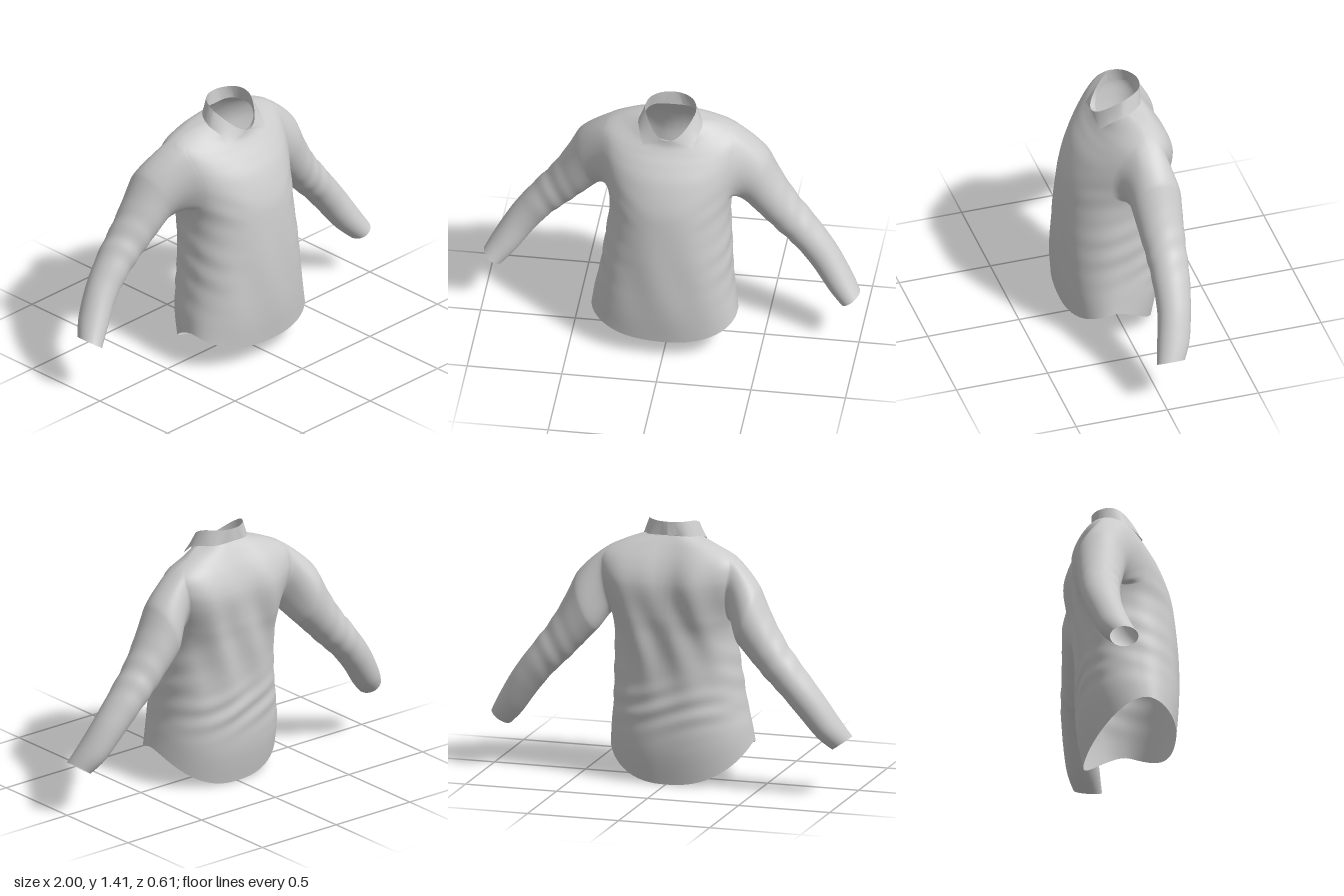
import * as THREE from 'three';

const { sin, cos, abs, pow, sign, min, max, PI, exp } = Math;
const bump = (v, mid, width) => exp(-(((v - mid) / width) ** 2));
const mix = (p, q, k) => p.map((e, i) => e + (q[i] - e) * k);

// Smoothly sample a list of section rows (Catmull-Rom on every column), t in 0..1
function sample(rows, t) {
  const n = rows.length - 1;
  const f = t * n, i = min(Math.floor(f), n - 1), k = f - i;
  const [a, b, c, d] = [i - 1, i, i + 1, i + 2].map(j => rows[min(max(j, 0), n)]);
  return b.map((p1, m) => {
    const p0 = a[m], p2 = c[m], p3 = d[m];
    return p1 + 0.5 * k * (p2 - p0 + k * (2 * p0 - 5 * p1 + 4 * p2 - p3 + k * (3 * (p1 - p2) + p3 - p0)));
  });
}

const cloth = new THREE.MeshStandardMaterial({ color: 0xcccccc, side: THREE.DoubleSide });

// Skin a grid of points: point(v, u) returns [x, y, z]; closed wraps around u
function loft(name, rows, cols, closed, point) {
  const pos = [], index = [], stride = closed ? cols : cols + 1;
  for (let i = 0; i <= rows; i++)
    for (let j = 0; j < stride; j++) pos.push(...point(i / rows, j / cols));
  for (let i = 0; i < rows; i++)
    for (let j = 0; j < cols; j++) {
      const k = (j + 1) % stride;
      const a = i * stride + j, b = i * stride + k, c = a + stride, d = b + stride;
      index.push(a, c, b, b, c, d);
    }
  const g = new THREE.BufferGeometry();
  g.setAttribute('position', new THREE.Float32BufferAttribute(pos, 3));
  g.setIndex(index);
  g.computeVertexNormals();
  const mesh = new THREE.Mesh(g, cloth);
  mesh.name = name;
  return mesh;
}

// Body sections: y front, y side, y back, half width +x, half width -x, z front, z back, z side
const BODY = [
  [0.10, 0.20, 0.00, 0.37, 0.40, 0.28, -0.19, 0.08],
  [0.25, 0.30, 0.18, 0.355, 0.385, 0.295, -0.225, 0.06],
  [0.40, 0.42, 0.38, 0.34, 0.36, 0.30, -0.235, 0.05],
  [0.60, 0.60, 0.60, 0.33, 0.335, 0.295, -0.235, 0.03],
  [0.80, 0.80, 0.80, 0.32, 0.315, 0.278, -0.255, 0.0],
  [0.92, 0.92, 0.92, 0.335, 0.335, 0.257, -0.275, -0.03],
  [1.05, 1.05, 1.05, 0.37, 0.37, 0.205, -0.29, -0.07],
  [1.13, 1.15, 1.13, 0.385, 0.385, 0.15, -0.28, -0.09],
  [1.18, 1.23, 1.21, 0.36, 0.36, 0.108, -0.245, -0.10],
  [1.22, 1.29, 1.285, 0.25, 0.25, 0.082, -0.195, -0.09],
  [1.26, 1.325, 1.335, 0.14, 0.14, 0.075, -0.155, -0.04],
];

function bodyPoint(v, u) {
  const [yF, yS, yB, wL, wR, zF, zB, zS] = sample(BODY, v);
  const c = cos(u * 2 * PI), s = sin(u * 2 * PI);
  // The chest tapers towards the shoulders while the back stays broad
  const round = q => sign(q) * pow(abs(q), 0.85 + (s > 0 ? 0.2 : -0.18) * v);
  let x = round(c) * (c > 0 ? wL : wR);
  let z = zS + round(s) * (s > 0 ? zF - zS : zS - zB);
  const y = yS + ((s > 0 ? yF : yB) - yS) * pow(abs(s), 1.4);
  // Cloth folds: hollow spine and hanging folds on the back, crumples above the waist, crinkled sides
  const back = max(-s, 0), front = max(s, 0);
  z += back * 0.035 * bump(x, 0, 0.1) * bump(y, 1.05, 0.25);
  z += back * 0.010 * sin(x * 30 + 3 * sin(y * 4)) * bump(y, 0.85, 0.3);
  z += back * 0.006 * sin(y * 55 + x * 9 + 2 * sin(x * 7)) * bump(y, 0.42, 0.1);
  z += front * 0.004 * sin(x * 24 + y * 5) * bump(y, 0.45, 0.25);
  z += front * 0.003 * sin(y * 45 - abs(x) * 25) * bump(y, 0.9, 0.1) * bump(abs(x), 0.28, 0.12);
  x += c * abs(c) * 0.003 * sin(y * 48 + z * 14) * bump(y, 0.58, 0.2);
  return [x, y, z];
}

// Sleeve sections: top x, top y, bottom x, bottom y, z front, z back
const SLEEVE = [
  [0.515, 1.08, 0.40, 0.79, 0.02, -0.245],
  [0.58, 0.945, 0.475, 0.71, 0.005, -0.235],
  [0.66, 0.81, 0.56, 0.62, -0.01, -0.225],
  [0.75, 0.69, 0.65, 0.53, -0.015, -0.215],
  [0.86, 0.54, 0.74, 0.42, -0.01, -0.19],
  [0.95, 0.39, 0.83, 0.30, 0.02, -0.155],
  [1.00, 0.30, 0.90, 0.23, 0.04, -0.11],
];

function armPoint(side, v, a) {
  const [tx, ty, bx, by, zF, zB] = sample(SLEEVE, v);
  // Crinkles gather at the elbow
  const fold = 1 + 0.02 * sin(v * 46 + 2 * sin(a)) * bump(v, 0.38, 0.18);
  const c = cos(a) * fold / 2, s = -side * sin(a) * fold / 2;
  // The right arm is carried a little further back
  const shift = side < 0 ? -0.06 - 0.035 * sin(v * PI * 0.7) : 0;
  const lift = side < 0 ? 0.017 * v : 0;
  return [
    side * ((tx + bx) / 2 + (tx - bx) * c),
    (ty + by) / 2 + (ty - by) * c + lift,
    (zF + zB) / 2 + (zF - zB) * s + shift,
  ];
}

// Oval armhole traced on the body surface
function armhole(side, a, size) {
  const turn = -side * sin(a) * 0.09 * size;
  const u = side > 0 ? turn : 0.5 - turn;
  return bodyPoint(0.65 + 0.2 * size * cos(a), (u + 1) % 1);
}

// The sleeve flows out of the armhole tangent to the body, then follows the arm
function sleevePoint(side, v, u) {
  const a = u * 2 * PI, joint = 0.25;
  if (v >= joint) return armPoint(side, (v - joint) / (1 - joint), a);
  const k = v / joint, k2 = k * k, k3 = k2 * k;
  const rim = armhole(side, a, 1), outer = armhole(side, a, 1.25);
  const start = armPoint(side, 0, a), next = armPoint(side, 0.02, a);
  return rim.map((p, i) =>
    p * (2 * k3 - 3 * k2 + 1) + 2.6 * (p - outer[i]) * (k3 - 2 * k2 + k) +
    start[i] * (3 * k2 - 2 * k3) + 16 * (next[i] - start[i]) * (k3 - k2));
}

// Collar fold line, running from front centre (w = 0) to back centre (w = 1), pinched to a V in front
function foldLine(side, w) {
  const a = w * PI, c = cos(a) > 0 ? pow(cos(a), 1.6) : cos(a);
  const rise = min(1, (1 - c) * 0.625);
  return [side * 0.135 * sin(a), 1.275 + 0.135 * sin(rise * PI / 2), -0.025 + 0.13 * c];
}

// Neck seam on the body that the collar stand grows from
const neckLine = (side, w) => bodyPoint(1, (0.25 - side * w / 2 + 1) % 1);

// Lower edge of the turned-down collar, from its point round to the back
const LEAF = [
  [0.13, 1.23, 0.095],
  [0.152, 1.275, 0.045],
  [0.168, 1.312, -0.03],
  [0.12, 1.335, -0.12],
  [0.0, 1.34, -0.158],
];

export function createModel() {
  const shirt = new THREE.Group();
  shirt.name = 'shirt';
  shirt.add(loft('body', 110, 120, true, bodyPoint));

  const collar = new THREE.Group();
  collar.name = 'collar';
  for (const side of [1, -1]) {
    const label = side > 0 ? 'left' : 'right';
    shirt.add(loft(label + 'Sleeve', 100, 64, true, (v, u) => sleevePoint(side, v, u)));

    const along = u => (side > 0 ? 1 - u : u);
    collar.add(loft(label + 'CollarStand', 6, 36, false, (v, u) => {
      const w = along(u);
      return mix(neckLine(side, w), foldLine(side, w), v);
    }));
    collar.add(loft(label + 'CollarLeaf', 8, 36, false, (v, u) => {
      const w = along(u);
      const [x, y, z] = sample(LEAF, w);
      return mix([side * x, y, z], foldLine(side, w), v);
    }));
  }
  shirt.add(collar);
  return shirt;
}
